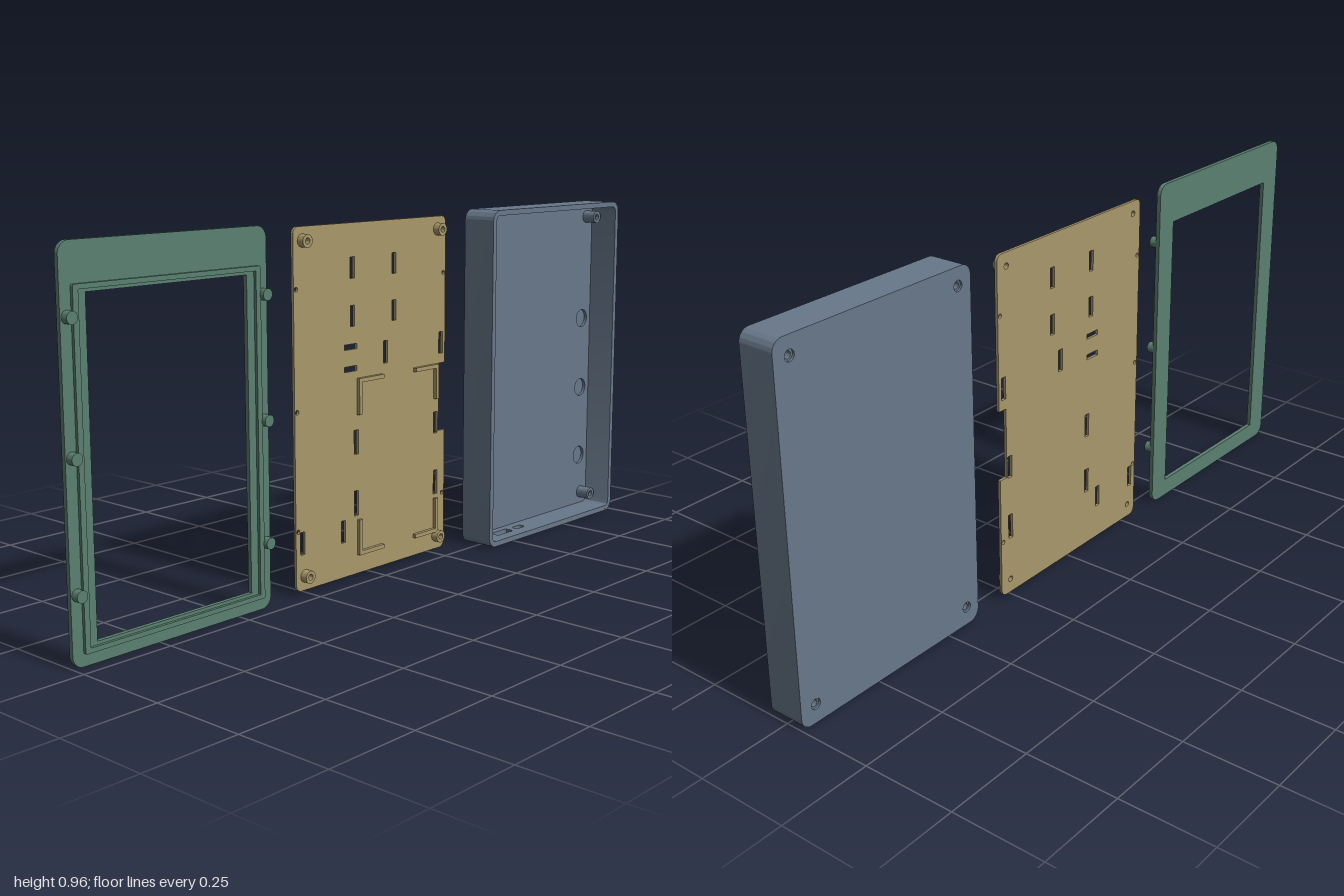
import * as THREE from 'three';
import { toCreasedNormals } from 'three/addons/utils/BufferGeometryUtils.js';

const green = new THREE.MeshStandardMaterial({ color: 0x5a8070 });
const tan = new THREE.MeshStandardMaterial({ color: 0xa8986a });
const slate = new THREE.MeshStandardMaterial({ color: 0x68788a });

// Rounded rectangle from its limits, as a Shape or a Path (hole)
function roundRect(x0, y0, x1, y1, r, Kind = THREE.Shape) {
  const s = new Kind();
  s.moveTo(x0 + r, y0);
  s.lineTo(x1 - r, y0);
  s.absarc(x1 - r, y0 + r, r, -Math.PI / 2, 0, false);
  s.absarc(x1 - r, y1 - r, r, 0, Math.PI / 2, false);
  s.absarc(x0 + r, y1 - r, r, Math.PI / 2, Math.PI, false);
  s.absarc(x0 + r, y0 + r, r, Math.PI, Math.PI * 1.5, false);
  return s;
}
function rectHole(cx, cy, w, h) {
  const x = w / 2, y = h / 2;
  return new THREE.Path([[-x, -y], [x, -y], [x, y], [-x, y]]
    .map(([a, b]) => new THREE.Vector2(cx + a, cy + b)));
}
function circle(x, y, r, Kind = THREE.Path) {
  const c = new Kind();
  c.absarc(x, y, r, 0, Math.PI * 2, false);
  return c;
}
function withHoles(shape, ...holes) {
  shape.holes.push(...holes);
  return shape;
}
// Extrude a shape between two depths
function slab(parent, name, shape, z0, z1, material) {
  const geo = new THREE.ExtrudeGeometry(shape, { depth: z1 - z0, bevelEnabled: false, curveSegments: 10 });
  const mesh = new THREE.Mesh(toCreasedNormals(geo, 0.6), material);
  mesh.position.z = z0;
  mesh.name = name;
  parent.add(mesh);
  return mesh;
}
const tube = (x, y, r, inner) => withHoles(circle(x, y, r, THREE.Shape), circle(x, y, inner));
const pegHeights = [0.17, 0.48, 0.79];

// Bezel with a seating rim and side pegs
function bezel() {
  const g = new THREE.Group();
  g.name = 'bezel';
  slab(g, 'bezelPlate', withHoles(roundRect(-1, 0, -0.39, 0.955, 0.03),
    rectHole(-0.693, 0.445, 0.475, 0.79)), -0.05, -0.038, green);
  slab(g, 'seatingRim', withHoles(roundRect(-0.97, 0.03, -0.417, 0.86, 0.004),
    rectHole(-0.6935, 0.445, 0.523, 0.806)), -0.038, -0.03, green);
  for (const x of [-0.982, -0.405])
    for (const y of pegHeights)
      slab(g, 'snapPeg', circle(x, y, 0.015, THREE.Shape), -0.038, -0.018, green);
  return g;
}

// Mounting plate with slots, corner bosses and board brackets
function mountingPlate() {
  const g = new THREE.Group();
  g.name = 'mountingPlate';
  const x0 = -0.295, x1 = 0.292, y0 = 0.012, y1 = 0.945, r = 0.018, notch = 0.266;
  const s = new THREE.Shape();
  s.moveTo(x0 + r, y0);
  s.lineTo(x1 - r, y0);
  s.absarc(x1 - r, y0 + r, r, -Math.PI / 2, 0, false);
  s.lineTo(x1, 0.35);
  s.lineTo(notch, 0.35);
  s.lineTo(notch, 0.54);
  s.lineTo(x1, 0.54);
  s.absarc(x1 - r, y1 - r, r, 0, Math.PI / 2, false);
  s.absarc(x0 + r, y1 - r, r, Math.PI / 2, Math.PI, false);
  s.absarc(x0 + r, y0 + r, r, Math.PI, Math.PI * 1.5, false);
  // upright tie slots: x, y, height
  const slots = [[-0.082, 0.83, 0.055], [0.079, 0.83, 0.055], [-0.082, 0.705, 0.055], [0.079, 0.705, 0.055],
    [0.046, 0.597, 0.06], [0.274, 0.597, 0.06], [-0.069, 0.37, 0.065], [0.254, 0.375, 0.06],
    [-0.069, 0.205, 0.068], [0.254, 0.205, 0.068], [-0.271, 0.137, 0.06], [-0.12, 0.137, 0.06]];
  for (const [x, y, h] of slots) s.holes.push(rectHole(x, y, 0.016, h));
  for (const y of [0.625, 0.567]) s.holes.push(rectHole(-0.089, y, 0.046, 0.014));
  // peg clearance holes
  for (const y of pegHeights) {
    s.holes.push(circle(-0.286, y, 0.006));
    if (y !== 0.48) s.holes.push(circle(0.283, y, 0.006));
  }
  const corners = [];
  for (const x of [-0.263, 0.257]) for (const y of [0.05, 0.91]) corners.push([x, y]);
  for (const [x, y] of corners) s.holes.push(circle(x, y, 0.008));
  slab(g, 'plate', s, -0.05, -0.042, tan);
  for (const [x, y] of corners) slab(g, 'cornerBoss', tube(x, y, 0.017, 0.008), -0.042, -0.022, tan);
  // L brackets opening towards the board centre
  for (const [x, y, sx, sy] of [[-0.066, 0.54, 1, -1], [0.256, 0.54, -1, -1], [-0.066, 0.063, 1, 1], [0.256, 0.063, -1, 1]]) {
    const pts = [[0, 0], [0.096, 0], [0.096, 0.011], [0.011, 0.011], [0.011, 0.097], [0, 0.097]];
    const shape = new THREE.Shape(pts.map(([a, b]) => new THREE.Vector2(x + sx * a, y + sy * b)));
    slab(g, 'boardBracket', shape, -0.042, -0.032, tan);
  }
  return g;
}

// Open-fronted shell with magnet pockets, screw posts and ports
function shell() {
  const g = new THREE.Group();
  g.name = 'shell';
  const x0 = 0.387, x1 = 1, y1 = 0.957, t = 0.015, R = 0.03, r = R - t;
  const corners = [];
  for (const x of [0.431, 0.954]) for (const y of [0.05, 0.91]) corners.push([x, y]);
  const screws = () => corners.map(([x, y]) => circle(x, y, 0.009));
  slab(g, 'backPanel', withHoles(roundRect(x0, 0, x1, y1, R),
    ...corners.map(([x, y]) => circle(x, y, 0.014))), -0.05, -0.044, slate);
  const pockets = [];
  for (const x of [0.442, 0.942]) for (const y of [0.17, 0.385, 0.6]) pockets.push(circle(x, y, 0.027));
  slab(g, 'innerFloor', withHoles(roundRect(x0, 0, x1, y1, R), ...screws(), ...pockets), -0.044, -0.035, slate);

  // side and top walls as one bent strip, open along the bottom
  const s = new THREE.Shape();
  const a = x0 + R, b = x1 - R, c = y1 - R, P = Math.PI;
  s.moveTo(b, 0);
  s.absarc(b, R, R, -P / 2, 0, false);
  s.absarc(b, c, R, 0, P / 2, false);
  s.absarc(a, c, R, P / 2, P, false);
  s.absarc(a, R, R, P, P * 1.5, false);
  s.lineTo(a, t);
  s.absarc(a, R, r, P * 1.5, P, true);
  s.absarc(a, c, r, P, P / 2, true);
  s.absarc(b, c, r, P / 2, 0, true);
  s.absarc(b, R, r, 0, -P / 2, true);
  slab(g, 'walls', s, -0.035, 0.05, slate);

  // bottom wall with two ports, drawn in x and -z and laid flat
  const bottom = withHoles(roundRect(a, -0.05, b, 0.035, 0.0001),
    roundRect(0.475, -0.014, 0.545, 0.014, 0.007, THREE.Path),
    roundRect(0.568, -0.011, 0.608, 0.011, 0.0105, THREE.Path));
  const wall = slab(g, 'bottomWall', bottom, 0, t, slate);
  wall.rotation.x = -Math.PI / 2;

  for (const [x, y] of corners) slab(g, 'screwPost', tube(x, y, 0.018, 0.009), -0.035, 0.005, slate);
  return g;
}

export function createModel() {
  const model = new THREE.Group();
  model.name = 'enclosureKit';
  model.add(bezel(), mountingPlate(), shell());
  return model;
}
